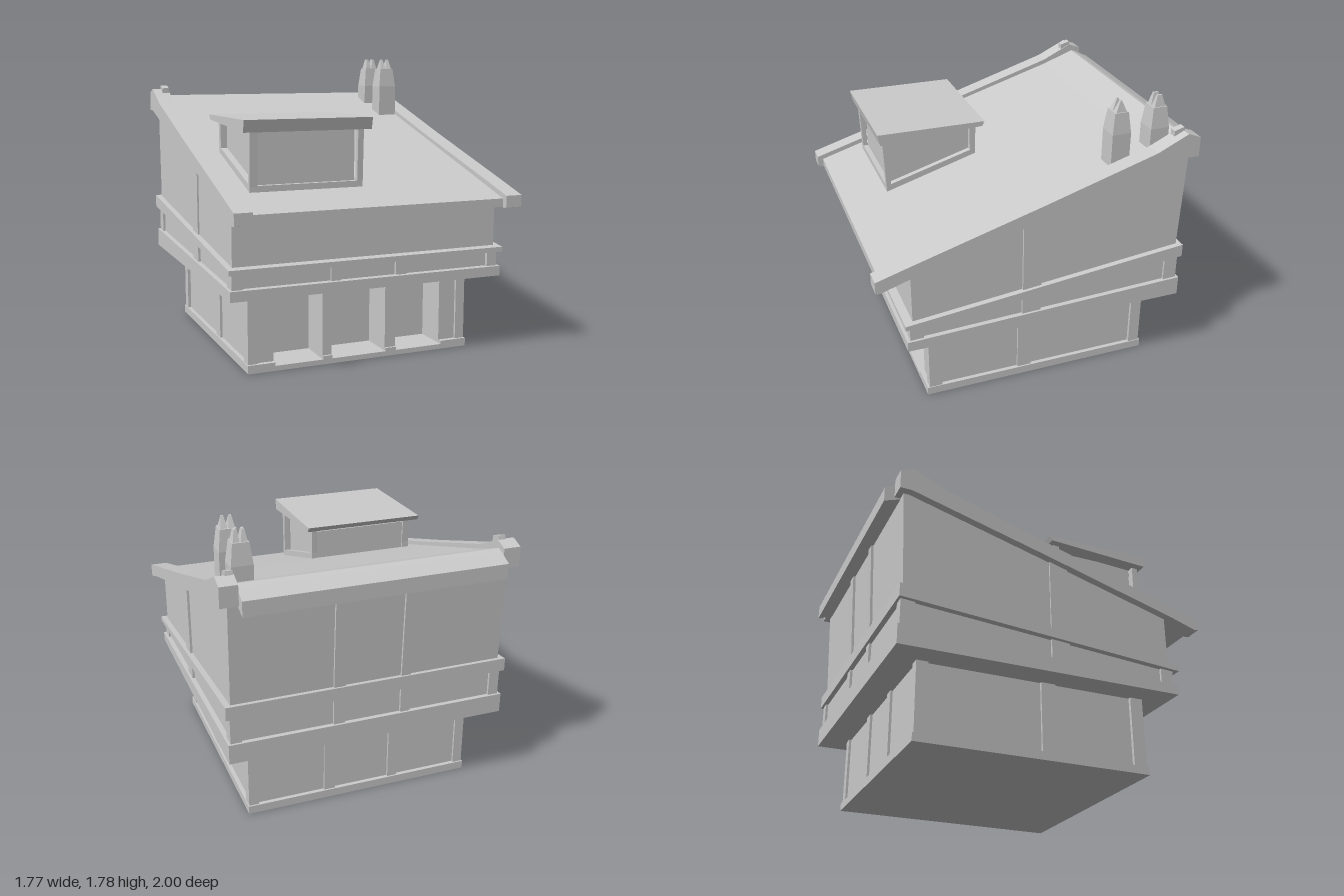
import * as THREE from 'three';

const mat = new THREE.MeshStandardMaterial({ color: 0xcccccc, flatShading: true });

export function createModel() {
  const g = new THREE.Group();
  g.name = 'house';
  const add = (name, geo) => {
    const m = new THREE.Mesh(geo, mat);
    m.name = name;
    g.add(m);
    return m;
  };
  const shapeOf = (pts) => new THREE.Shape(pts.map(([a, b]) => new THREE.Vector2(a, b)));
  // box given by its limits
  const box = (name, x0, x1, y0, y1, z0, z1) =>
    add(name, new THREE.BoxGeometry(x1 - x0, y1 - y0, z1 - z0)
      .translate((x0 + x1) / 2, (y0 + y1) / 2, (z0 + z1) / 2));
  // side profile of [z, y] points, extruded from x0 to x1
  const slab = (name, pts, x0, x1) =>
    add(name, new THREE.ExtrudeGeometry(shapeOf(pts), { depth: x1 - x0, bevelEnabled: false })
      .rotateY(-Math.PI / 2).translate(x1, 0, 0));
  // floor plan of [x, z] points, extruded from y0 to y1
  const plan = (name, pts, y0, y1) =>
    add(name, new THREE.ExtrudeGeometry(shapeOf(pts.map(([x, z]) => [x, -z])), { depth: y1 - y0, bevelEnabled: false })
      .rotateX(-Math.PI / 2).translate(0, y0, 0));

  // ground floor with three open bays in the front
  const bays = [[-0.55, -0.25], [-0.19, 0.16], [0.23, 0.54]];
  const studs = [[-0.25, -0.19], [0.16, 0.23]];
  const comb = (hx, front, back) => [
    [-hx, back], [-hx, front],
    ...bays.flatMap(([a, b]) => [[a, front], [a, 0.45], [b, 0.45], [b, front]]),
    [hx, front], [hx, back],
  ];
  box('base', -0.715, 0.715, 0, 0.03, -0.76, 0.685);
  plan('plinth', comb(0.715, 0.685, -0.76), 0.03, 0.05);
  plan('groundWalls', comb(0.69, 0.655, -0.735), 0.05, 0.48);
  for (const s of [-1, 1]) {
    const [a, b] = s < 0 ? [-0.71, -0.65] : [0.65, 0.71];
    box('groundFrontPost', a, b, 0.05, 0.48, 0.59, 0.67);
    box('groundBackPost', a, b, 0.05, 0.48, -0.75, -0.68);
    box('groundSideStud', s * 0.69 - 0.015, s * 0.69 + 0.015, 0.05, 0.48, 0.005, 0.095);
  }
  for (const [a, b] of studs) {
    box('groundFrontStud', a, b, 0.05, 0.48, 0.5, 0.67);
    box('groundBackStud', a, b, 0.05, 0.48, -0.75, -0.7);
  }

  // overhanging floor, with sloping bands around a narrow strip
  slab('lowerBand', [[0.83, 0.47], [0.83, 0.53], [-0.91, 0.59], [-0.91, 0.47]], -0.86, 0.86);
  slab('stripWall', [[0.79, 0.51], [0.79, 0.64], [-0.88, 0.77], [-0.88, 0.57]], -0.83, 0.83);
  slab('upperBand', [[0.84, 0.62], [0.84, 0.65], [-0.91, 0.83], [-0.91, 0.75]], -0.87, 0.87);
  for (const s of [-1, 1]) {
    const [a, b] = s < 0 ? [-0.845, -0.78] : [0.78, 0.845];
    box('stripFrontPost', a, b, 0.5, 0.635, 0.73, 0.81);
    box('stripBackPost', a, b, 0.57, 0.77, -0.895, -0.81);
    box('stripSideStud', a, b, 0.54, 0.7, 0.01, 0.125);
    slab('upperSideStud', [[0.125, 0.7], [0.125, 1.18], [0.01, 1.21], [0.01, 0.71]], a, s < 0 ? b : 0.85);
  }
  for (const [a, b] of studs) {
    box('stripFrontStud', a, b, 0.5, 0.635, 0.75, 0.805);
    box('stripBackStud', a, b, 0.57, 0.77, -0.895, -0.85);
    slab('upperBackStud', [[-0.8, 0.8], [-0.8, 1.42], [-0.92, 1.42], [-0.895, 0.8]], a, b);
  }
  slab('upperWalls', [[0.79, 0.64], [0.79, 1.0], [0, 1.22], [-0.87, 1.45], [-0.905, 1.44], [-0.88, 0.8]], -0.835, 0.835);

  // roof, back eave, raised edge boards and finials
  const under = [[-0.87, 1.43], [0, 1.195], [0.79, 0.975], [0.965, 0.92]];
  slab('roof', [...under, [0.965, 0.97], [0.8, 1.02], [0, 1.26], [-0.67, 1.46], [-0.88, 1.535]], -0.79, 0.79);
  slab('backEave', [[-0.86, 1.44], [-0.88, 1.535], [-0.91, 1.525], [-1, 1.48], [-1, 1.39]], -0.78, 0.78);
  for (const s of [-1, 1]) {
    const [a, b] = s < 0 ? [-0.885, -0.78] : [0.78, 0.885];
    slab('edgeBoard', [...under.slice(0, 3), [0.975, 0.915], [1, 0.92], [1, 0.99], [0.8, 1.05], [0, 1.285],
      [-0.67, 1.49], [-0.86, 1.58], [-0.94, 1.55], [-0.94, 1.43]], a, b);
    slab('finial', [[-0.8, 1.53], [-0.8, 1.585], [-0.86, 1.602], [-0.87, 1.56]], s * 0.807 - 0.022, s * 0.807 + 0.022);
  }

  // dormer: recessed core, frame and lid
  box('dormerCore', -0.66, -0.05, 1.0, 1.4, 0.13, 0.67);
  for (const [a, b] of [[-0.7, -0.655], [-0.045, -0.01]]) {
    slab('dormerFrontPost', [[0.7, 1.03], [0.715, 1.4], [0.675, 1.4], [0.675, 1.03]], a, b);
    slab('dormerBackPost', [[0.155, 1.2], [0.155, 1.42], [0.115, 1.42], [0.125, 1.2]], a, b);
    slab('dormerSideRail', [[0.7, 1.03], [0.7, 1.09], [0.12, 1.26], [0.12, 1.2]], a, b);
  }
  box('dormerSill', -0.7, -0.01, 1.03, 1.085, 0.65, 0.702);
  slab('dormerRoof', [[0.735, 1.385], [0.75, 1.455], [0.07, 1.45], [0.085, 1.42]], -0.745, 0.03);

  // chimneys: tapered square shaft carrying two small pots
  const taper = (name, x, z, y0, y1, w0, d0, w1, d1) => {
    const geo = new THREE.BoxGeometry(1, y1 - y0, 1);
    const p = geo.attributes.position;
    for (let i = 0; i < p.count; i++) {
      const top = p.getY(i) > 0;
      p.setX(i, p.getX(i) * (top ? w1 : w0));
      p.setZ(i, p.getZ(i) * (top ? d1 : d0));
    }
    geo.computeVertexNormals();
    add(name, geo.translate(x, (y0 + y1) / 2, z));
  };
  for (const [z, foot, potTop] of [[-0.49, 1.38, 0.008], [-0.733, 1.45, 0.03]]) {
    taper('chimneyShaft', 0.713, z, foot, 1.59, 0.125, 0.115, 0.125, 0.115);
    taper('chimneyNeck', 0.713, z, 1.59, 1.715, 0.125, 0.115, 0.095, 0.085);
    for (const dx of [-0.022, 0.022])
      taper('chimneyPot', 0.713 + dx, z, 1.71, 1.782, 0.04, 0.07, 0.014, potTop);
  }
  return g;
}
